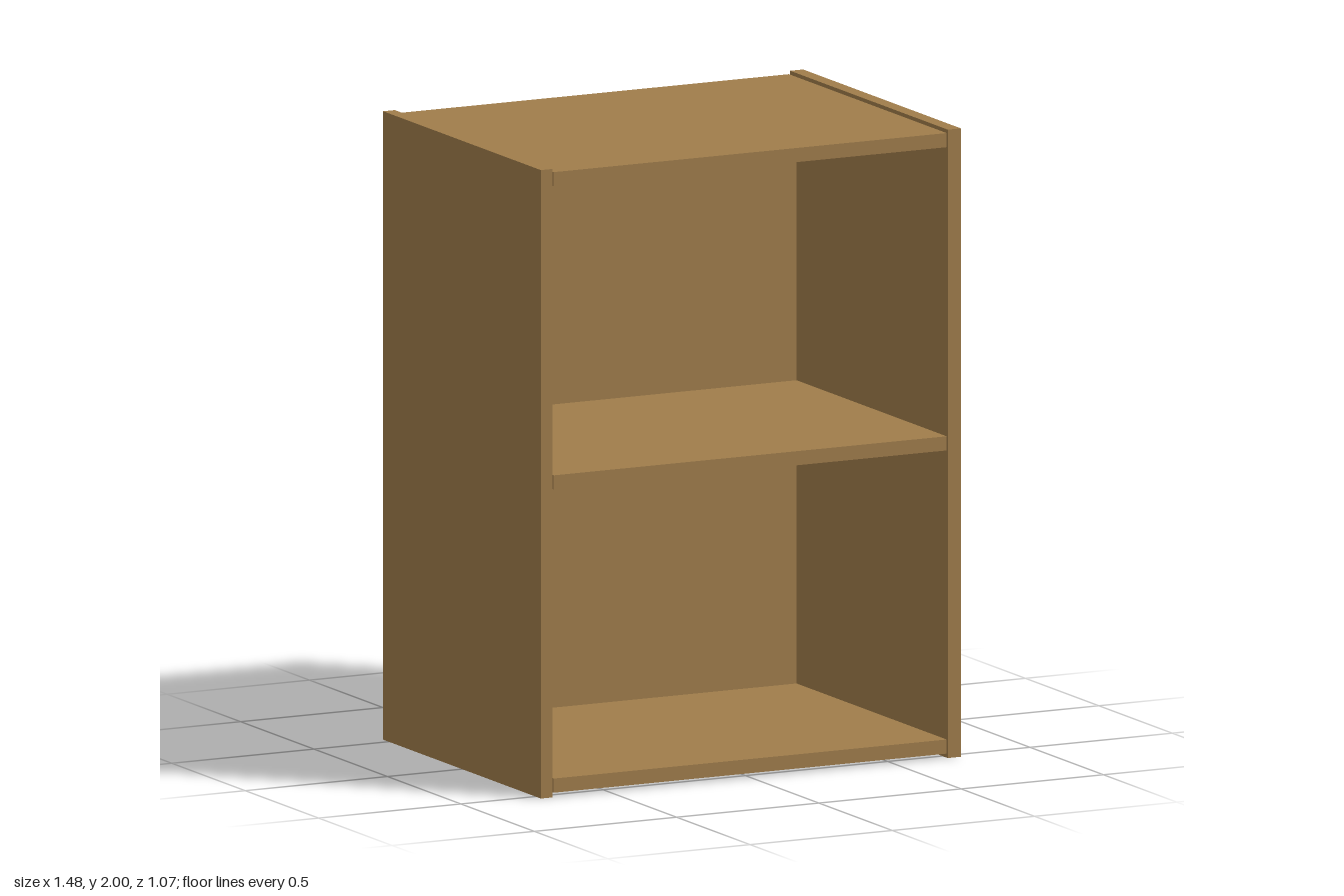
import * as THREE from 'three';

export function createModel() {
  const group = new THREE.Group();
  const wood = new THREE.MeshStandardMaterial({ color: 0xa07d4b });
  wood.name = 'wood';

  // Adds a board spanning the given x, y and z ranges
  const board = (name, [x0, x1], [y0, y1], [z0, z1]) => {
    const mesh = new THREE.Mesh(new THREE.BoxGeometry(x1 - x0, y1 - y0, z1 - z0), wood);
    mesh.position.set((x0 + x1) / 2, (y0 + y1) / 2, (z0 + z1) / 2);
    mesh.name = name;
    group.add(mesh);
  };

  const depth = [-0.537, 0.537];

  // Full-height side panels
  board('rightSide', [-0.738, -0.697], [0, 2], depth);
  board('leftSide', [0.692, 0.738], [0, 2], depth);

  // Horizontal boards, set in from the sides by a hairline gap
  const shelves = { bottomBoard: 0.037, middleShelf: 1.002, topBoard: 1.967 };
  for (const [name, y] of Object.entries(shelves)) {
    board(name, [-0.693, 0.688], [y - 0.0225, y + 0.0225], depth);
  }

  // Thin back panel, recessed from the rear edge
  board('backPanel', [-0.697, 0.688], [0.035, 1.969], [-0.506, -0.485]);

  return group;
}
